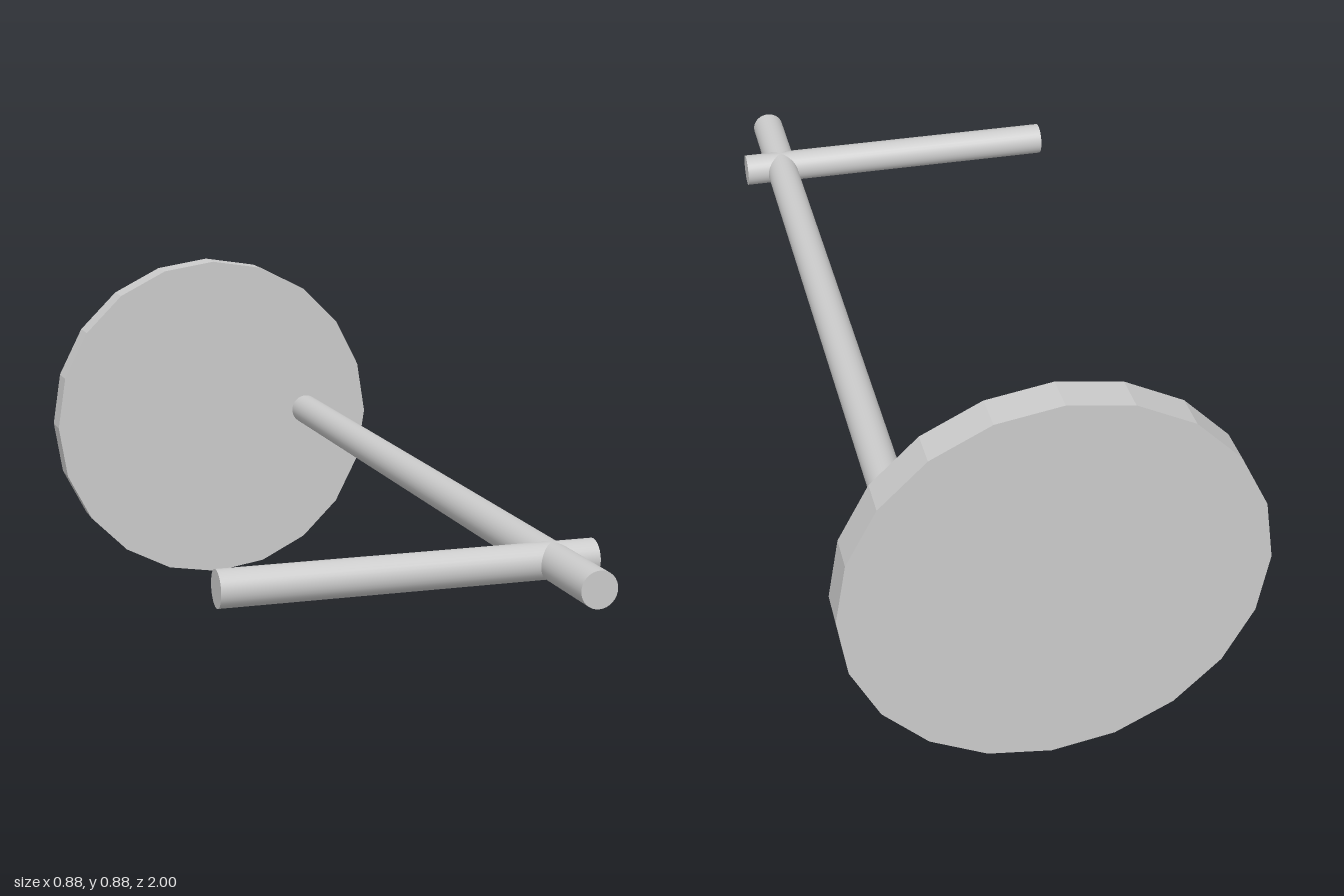
import * as THREE from 'three';

const ROD_RADIUS = 0.039;
const ROD_Y = 0.454;

export function createModel() {
  const group = new THREE.Group();
  const smooth = new THREE.MeshStandardMaterial({ color: 0xcccccc });
  const faceted = new THREE.MeshStandardMaterial({ color: 0xcccccc, flatShading: true });

  // Cylinder laid along the x or z axis
  function addCylinder(name, axis, radius, length, sides, position, material) {
    const geometry = new THREE.CylinderGeometry(radius, radius, length, sides);
    if (axis === 'z') geometry.rotateX(Math.PI / 2);
    else geometry.rotateZ(Math.PI / 2);
    const mesh = new THREE.Mesh(geometry, material);
    mesh.name = name;
    mesh.position.set(...position);
    group.add(mesh);
  }

  // Faceted round plate at the back
  addCylinder('backDisc', 'z', 0.44, 0.078, 20, [0, 0.44, -0.961], faceted);
  // Long rod running forward from the disc
  addCylinder('longRod', 'z', ROD_RADIUS, 1.93, 32, [0.265, ROD_Y, 0.035], smooth);
  // Short bar crossing the rod near its front end
  addCylinder('crossBar', 'x', ROD_RADIUS, 0.796, 32, [-0.041, ROD_Y, 0.772], smooth);

  return group;
}
